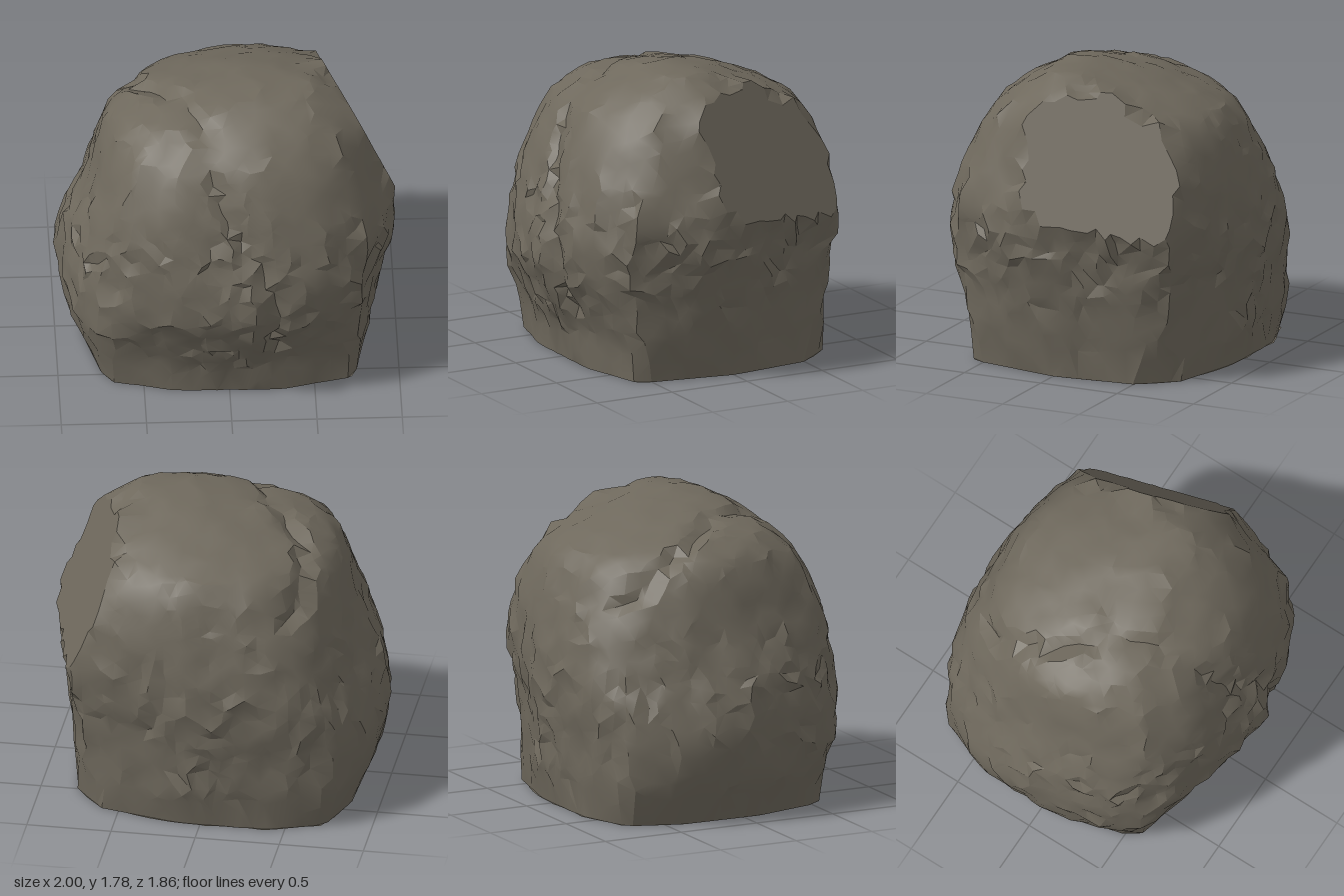
import * as THREE from 'three';
import { mergeVertices, toCreasedNormals } from 'three/addons/utils/BufferGeometryUtils.js';

// Extents by height: y, xMin, xMax, zMin, zMax
const LEVELS = [
  [0, -0.84, 0.84, -0.83, 0.69], [0.2, -0.92, 0.88, -0.86, 0.73],
  [0.4, -0.98, 0.9, -0.88, 0.82], [0.6, -0.99, 0.94, -0.91, 0.91],
  [0.8, -0.94, 0.99, -0.92, 0.92], [1.0, -0.87, 0.99, -0.9, 0.87],
  [1.2, -0.79, 0.94, -0.87, 0.78], [1.4, -0.72, 0.88, -0.79, 0.69],
  [1.5, -0.66, 0.83, -0.71, 0.64], [1.6, -0.53, 0.75, -0.54, 0.52],
  [1.7, -0.28, 0.63, -0.27, 0.33], [1.765, 0.22, 0.51, -0.04, 0.2],
];

// Plan outlines for the foot, waist and top, scaled to +-1 in both directions
const FOOT = [
  [1, 0.09], [0.88, 0.855], [0.36, 1], [-0.36, 0.99], [-0.86, 0.84], [-1, 0.22],
  [-0.99, -0.43], [-0.86, -0.84], [-0.48, -0.99], [0.12, -1], [0.71, -0.86],
  [0.93, -0.57],
];
const WAIST = [
  [1, 0.12], [0.96, 0.35], [0.8, 0.72], [0.55, 0.89], [0.2, 1], [0, 0.97],
  [-0.33, 0.9], [-0.64, 0.79], [-0.87, 0.57], [-0.96, 0.22], [-1, 0],
  [-0.97, -0.32], [-0.84, -0.66], [-0.72, -0.84], [-0.56, -0.93], [0.02, -1],
  [0.42, -0.91], [0.8, -0.77],
];
const TOP = [
  [1, 0.12], [0.96, 0.35], [0.8, 0.72], [0.55, 0.9], [0.15, 1], [-0.48, 0.94],
  [-0.82, 0.75], [-0.97, 0.4], [-1, 0], [-0.95, -0.3], [-0.81, -0.58],
  [-0.63, -0.79], [-0.4, -0.93], [0.02, -1], [0.42, -0.92], [0.8, -0.79],
];
const [footEdges, waistEdges, topEdges] = [FOOT, WAIST, TOP].map((outline) =>
  outline.map(([x, z], i) => {
    const [u, w] = outline[(i + 1) % outline.length];
    const d = x * w - z * u;
    return [(w - z) / d, (x - u) / d];
  }));

// Split face on the upper left side
const CUT = new THREE.Vector3(0.88, 0.4, -0.27).normalize();
const CUT_D = 1.25;
const CENTRE = new THREE.Vector3(0, 0.8, 0);

// Course of the crack over the top and down the front
const CRACK = [
  [-0.56, 1.35, -0.7], [-0.58, 1.42, -0.5], [-0.5, 1.58, -0.2], [-0.3, 1.64, 0.05],
  [-0.16, 1.6, 0.3], [-0.06, 1.35, 0.62], [0.04, 1.17, 0.78], [0.2, 0.95, 0.87],
  [0.27, 0.72, 0.92], [0.28, 0.5, 0.88], [0.33, 0.15, 0.72],
];

// Below 1 is inside the body at the point's height
function bodyGauge(p) {
  if (p.y > 1.765) return 9;
  const y = Math.max(p.y, 0);
  let i = 0;
  while (i < LEVELS.length - 2 && LEVELS[i + 1][0] < y) i++;
  const a = LEVELS[i], b = LEVELS[i + 1];
  const t = (y - a[0]) / (b[0] - a[0]);
  const [, x0, x1, z0, z1] = a.map((v, k) => v + (b[k] - v) * t);
  const x = (2 * p.x - x0 - x1) / (x1 - x0);
  const z = (2 * p.z - z0 - z1) / (z1 - z0);
  const gauge = (edges) => Math.max(...edges.map(([nx, nz]) => nx * x + nz * z));
  const other = y < 0.7
    ? [footEdges, 1 - y / 0.7]
    : [topEdges, Math.min(1, (y - 0.7) / 0.6)];
  return THREE.MathUtils.lerp(gauge(waistEdges), gauge(other[0]), other[1]);
}

// Surface point along a direction from the centre
function surfacePoint(dir) {
  const p = new THREE.Vector3();
  let lo = 0, hi = 2;
  for (let k = 0; k < 26; k++) {
    const r = (lo + hi) / 2;
    p.copy(CENTRE).addScaledVector(dir, r);
    if (p.y >= 0 && bodyGauge(p) < 1 && p.dot(CUT) < CUT_D) lo = r;
    else hi = r;
  }
  return p;
}

function seeded(seed) {
  return () => {
    seed = (seed * 16807) % 2147483647;
    return seed / 2147483647;
  };
}

function boulderGeometry() {
  const ico = new THREE.IcosahedronGeometry(1, 13);
  ico.deleteAttribute('normal');
  ico.deleteAttribute('uv');
  const geo = mergeVertices(ico, 1e-4);
  const pos = geo.attributes.position;
  const rnd = seeded(4171);
  const jitter = (s) => (rnd() - 0.5) * s;

  const path = CRACK.map((c) => surfacePoint(new THREE.Vector3(...c).sub(CENTRE).normalize()));
  const crack = path.slice(1).map((p, i) => new THREE.Line3(path[i], p));
  const dir = new THREE.Vector3(), near = new THREE.Vector3();

  for (let i = 0; i < pos.count; i++) {
    dir.fromBufferAttribute(pos, i);
    dir.x += jitter(0.05);
    dir.y += jitter(0.05);
    dir.z += jitter(0.05);
    dir.normalize();
    const p = surfacePoint(dir);
    const cutGap = CUT_D - p.dot(CUT);

    if (p.y < 0.08) {
      // Flat base with a sharp rim
      p.y = 0;
      const g = bodyGauge(p);
      if (g > 0.82) { p.x /= g; p.z /= g; }
    } else if (cutGap < 0.03) {
      p.addScaledVector(CUT, cutGap);
    } else {
      // Chipped facets, calmer towards the top and the foot
      const rough = p.y > 1.1 ? 0.016 : 0.034;
      const swell = 0.008 * (Math.sin(7 * p.x + 4 * p.y) + Math.sin(6 * p.z - 8 * p.y + 1));
      let d = 9;
      for (const s of crack) {
        s.closestPointToPoint(p, true, near);
        d = Math.min(d, near.distanceTo(p));
      }
      const groove = 0.05 * Math.exp(-((d / 0.045) ** 2));
      const fade = Math.min(1, p.y / 0.2);
      p.addScaledVector(dir, fade * (jitter(rough) + swell - groove));
    }
    pos.setXYZ(i, p.x, p.y, p.z);
  }
  return toCreasedNormals(geo, 0.38);
}

export function createModel() {
  const group = new THREE.Group();
  group.name = 'rock';
  const boulder = new THREE.Mesh(
    boulderGeometry(),
    new THREE.MeshStandardMaterial({ color: 0x6e685c }),
  );
  boulder.name = 'boulder';
  group.add(boulder);
  return group;
}
